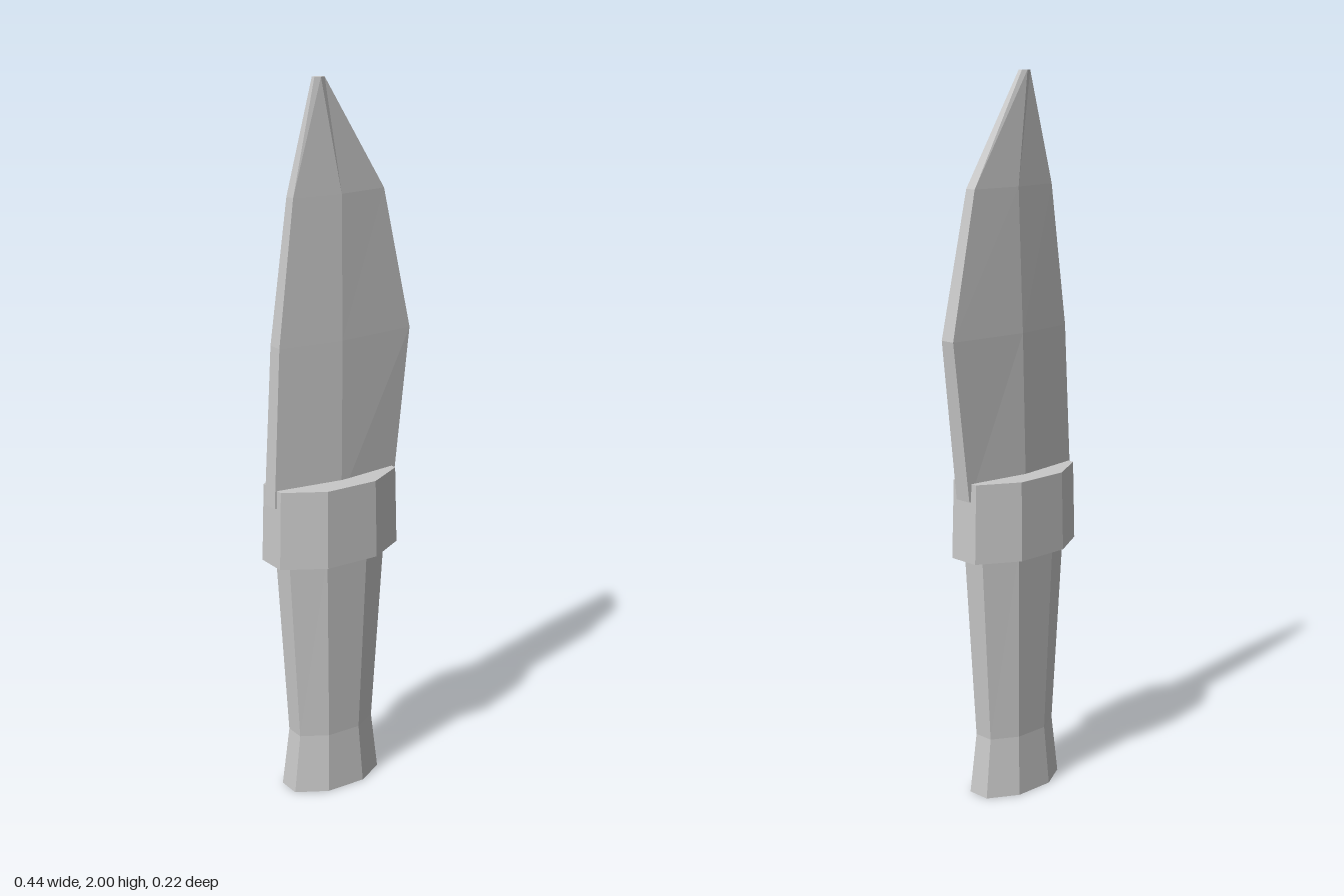
import * as THREE from 'three';

// Skins a stack of equal-sized rings of [x, y, z] points and caps both ends.
// Points in a ring run from +x through +z to -x.
function loft(name, rings, material) {
  const n = rings[0].length;
  const pos = [];
  const tri = (...pts) => pts.forEach((p) => pos.push(...p));
  for (let r = 0; r < rings.length - 1; r++) {
    for (let i = 0; i < n; i++) {
      const j = (i + 1) % n;
      const [lo, hi] = [rings[r], rings[r + 1]];
      tri(lo[i], hi[i], lo[j]);
      tri(lo[j], hi[i], hi[j]);
    }
  }
  const bottom = rings[0];
  const top = rings[rings.length - 1];
  for (let i = 1; i < n - 1; i++) {
    tri(bottom[0], bottom[i], bottom[i + 1]);
    tri(top[0], top[i + 1], top[i]);
  }
  const geometry = new THREE.BufferGeometry();
  geometry.setAttribute('position', new THREE.Float32BufferAttribute(pos, 3));
  geometry.computeVertexNormals();
  const mesh = new THREE.Mesh(geometry, material);
  mesh.name = name;
  return mesh;
}

// Flattened octagon with flat sides facing x and z
function octagon(y, left, right, halfDepth) {
  const centre = (left + right) / 2;
  const halfWidth = (right - left) / 2;
  const k = 1 / Math.cos(Math.PI / 8);
  return Array.from({ length: 8 }, (_, i) => {
    const a = (i + 0.5) * Math.PI / 4;
    return [centre + halfWidth * k * Math.cos(a), y, halfDepth * k * Math.sin(a)];
  });
}

// Six-sided blade section: blunt edges and a central ridge on each face
function bladeSection(y, left, ridge, right, edgeZ, ridgeZ) {
  return [
    [right, y, edgeZ], [ridge, y, ridgeZ], [left, y, edgeZ],
    [left, y, -edgeZ], [ridge, y, -ridgeZ], [right, y, -edgeZ],
  ];
}

export function createModel() {
  const group = new THREE.Group();
  group.name = 'knife';
  const grey = new THREE.MeshStandardMaterial({ color: 0xc8c8c8 });
  grey.name = 'grey';

  // Handle with a flared butt
  group.add(loft('handle', [
    octagon(0, -0.17, 0.115, 0.08),
    octagon(0.17, -0.149, 0.095, 0.069),
    octagon(0.72, -0.184, 0.131, 0.084),
  ], grey));

  // Collar between handle and blade
  group.add(loft('guard', [
    octagon(0.7, -0.22, 0.167, 0.11),
    octagon(0.92, -0.214, 0.161, 0.106),
  ], grey));

  // Leaf-shaped blade, seated slightly below the collar's rim
  group.add(loft('blade', [
    bladeSection(0.87, -0.222, -0.022, 0.168, 0.025, 0.049),
    bladeSection(1.31, -0.2, -0.015, 0.22, 0.022, 0.043),
    bladeSection(1.7, -0.15, -0.01, 0.135, 0.016, 0.031),
    bladeSection(2, -0.077, -0.061, -0.046, 0.006, 0.012),
  ], grey));

  return group;
}
